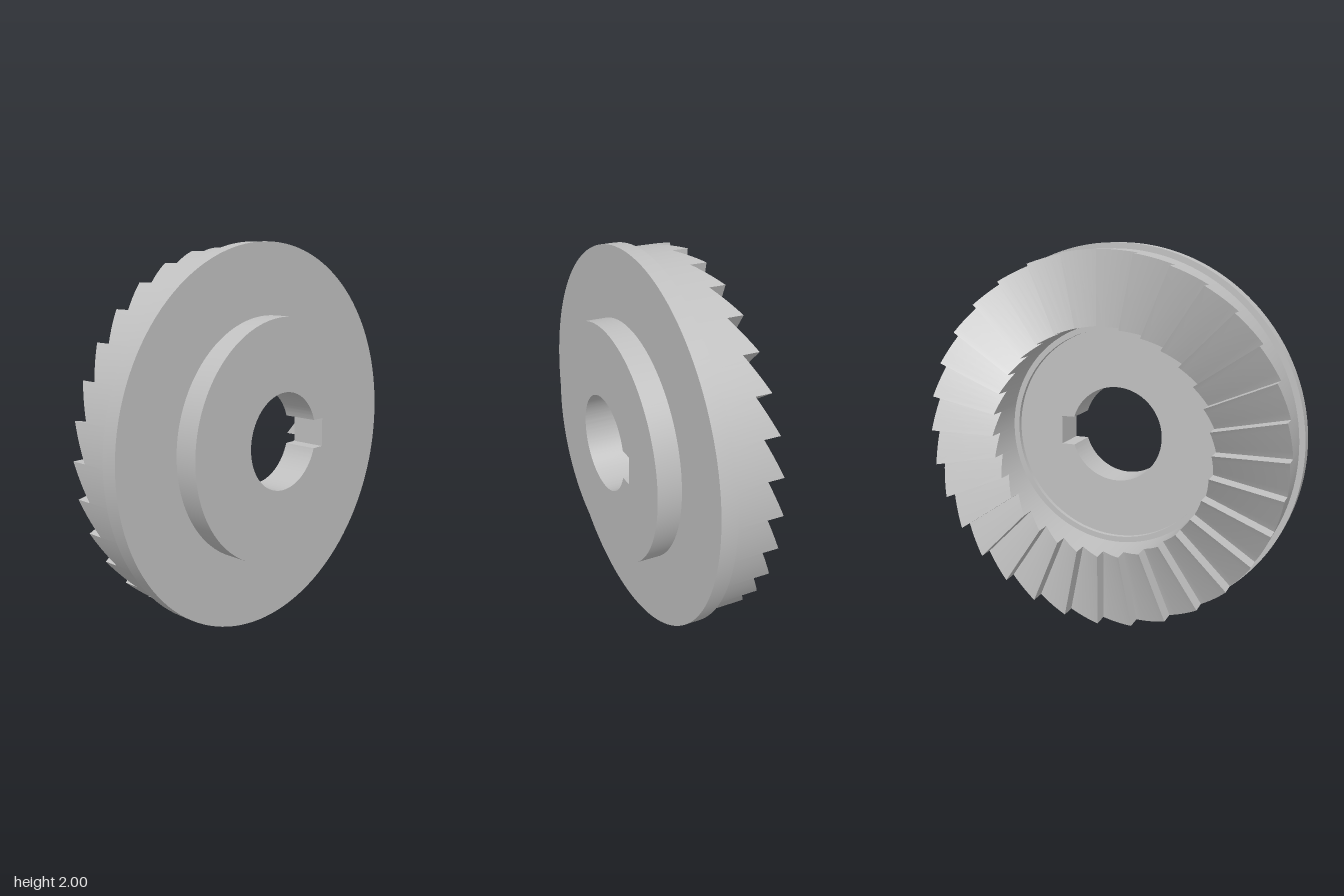
import * as THREE from 'three';
import { toCreasedNormals } from 'three/addons/utils/BufferGeometryUtils.js';

const TEETH = 32, STEPS = 5;
const R_OUT = 0.97, R_IN = 0.595;
const TIP = -0.235, VALLEY = -0.15, BASE = 0.02;

// Revolve a profile of [radius, x] points around the x axis
function revolve(profile) {
  const points = profile.map(([r, x]) => new THREE.Vector2(r, x));
  const geo = new THREE.LatheGeometry(points, 128).rotateZ(-Math.PI / 2);
  return toCreasedNormals(geo, 0.5);
}

// Hub disc with a keyed bore, extruded along x
function hubGeometry() {
  const shape = new THREE.Shape().absarc(0, 0, 0.635, 0, Math.PI * 2, false);
  const r = 0.255, half = 0.077, a = Math.asin(half / r);
  const bore = new THREE.Path();
  bore.moveTo(0.315, -half);
  bore.lineTo(0.315, half);
  bore.absarc(0, 0, r, a, Math.PI * 2 - a, false);
  bore.lineTo(0.315, -half);
  shape.holes.push(bore);
  const geo = new THREE.ExtrudeGeometry(shape, { depth: 0.19, bevelEnabled: false, curveSegments: 96 });
  return toCreasedNormals(geo.rotateY(Math.PI / 2).translate(0.04, 0, 0), 0.5);
}

// Crown of saw teeth: each ramps from valley to tip, then drops straight back
function toothRingGeometry() {
  const pos = [];
  const p = (r, a, x) => [x, r * Math.sin(a), r * Math.cos(a)];
  const quad = (a, b, c, d) => pos.push(...a, ...b, ...c, ...a, ...c, ...d);
  const pitch = (Math.PI * 2) / TEETH;
  for (let t = 0; t < TEETH; t++) {
    for (let s = 0; s < STEPS; s++) {
      const a0 = (t + s / STEPS) * pitch, a1 = (t + (s + 1) / STEPS) * pitch;
      const x0 = VALLEY + (TIP - VALLEY) * s / STEPS;
      const x1 = VALLEY + (TIP - VALLEY) * (s + 1) / STEPS;
      quad(p(R_OUT, a0, x0), p(R_OUT, a0, BASE), p(R_OUT, a1, BASE), p(R_OUT, a1, x1)); // outer wall
      quad(p(R_IN, a1, x1), p(R_IN, a1, BASE), p(R_IN, a0, BASE), p(R_IN, a0, x0)); // inner wall
      quad(p(R_IN, a0, x0), p(R_OUT, a0, x0), p(R_OUT, a1, x1), p(R_IN, a1, x1)); // ramp
    }
    const e = (t + 1) * pitch;
    quad(p(R_IN, e, TIP), p(R_OUT, e, TIP), p(R_OUT, e, VALLEY), p(R_IN, e, VALLEY)); // steep face
  }
  const geo = new THREE.BufferGeometry();
  geo.setAttribute('position', new THREE.Float32BufferAttribute(pos, 3));
  return toCreasedNormals(geo, 0.35);
}

export function createModel() {
  const group = new THREE.Group();
  group.name = 'crownRatchetWheel';
  const steel = new THREE.MeshStandardMaterial({ color: 0xc0c0c0 });
  steel.name = 'steel grey';
  const add = (name, geo) => {
    const mesh = new THREE.Mesh(geo, steel);
    mesh.name = name;
    mesh.position.y = 1;
    group.add(mesh);
  };
  add('hub', hubGeometry());
  add('flange', revolve([[0.96, 0.02], [1, 0.02], [1, 0.105], [0.63, 0.105]]));
  add('floorStep', revolve([[0.565, 0.04], [0.565, 0.015], [0.6, 0.015]]));
  add('toothRing', toothRingGeometry());
  return group;
}
